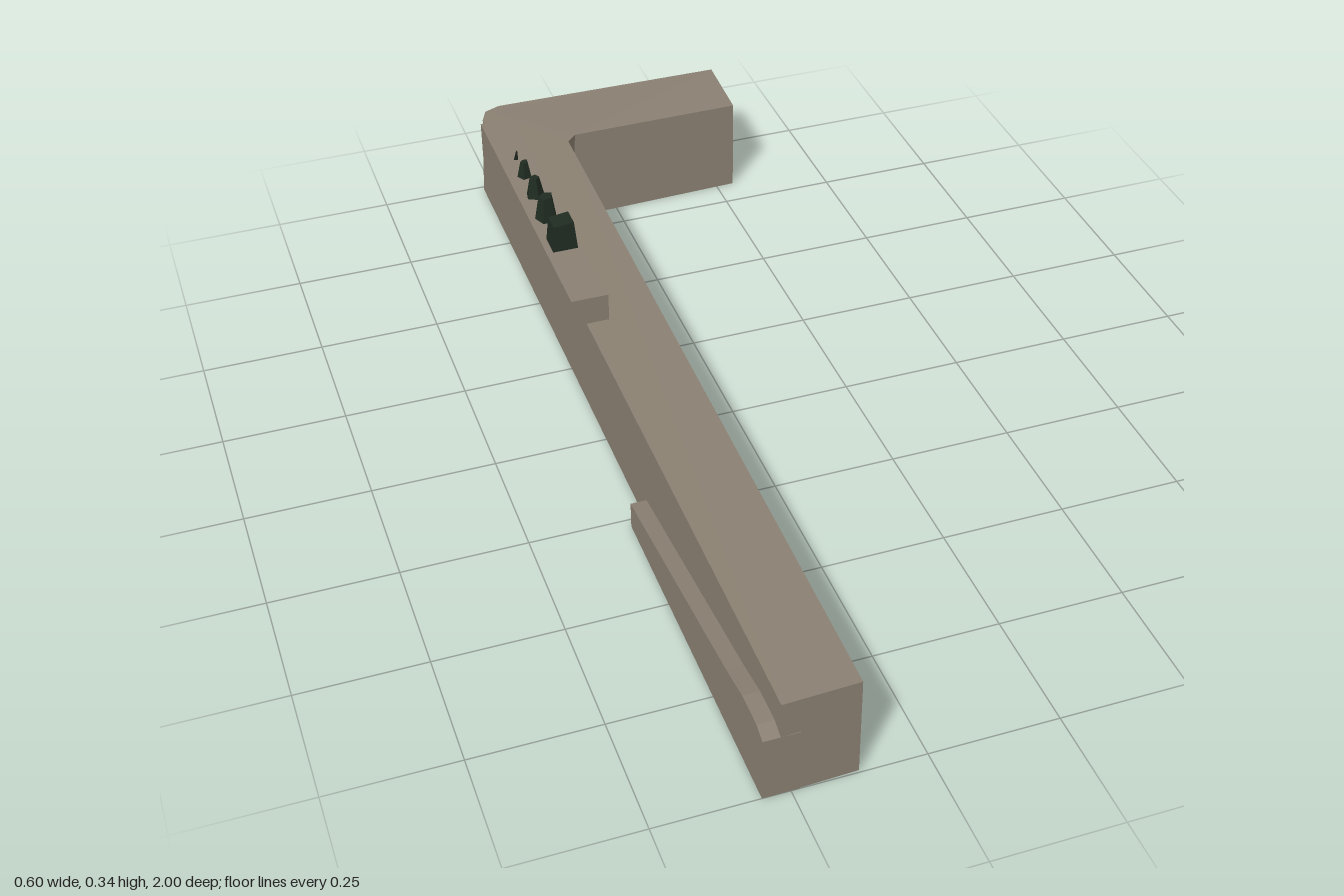
import * as THREE from 'three';

const stone = new THREE.MeshStandardMaterial({ color: 0x8a8072, flatShading: true, side: THREE.DoubleSide });
stone.name = 'warm grey stone';
const dark = new THREE.MeshStandardMaterial({ color: 0x1f2b21, flatShading: true });
dark.name = 'dark green';

function add(group, name, geometry, material) {
  const mesh = new THREE.Mesh(geometry, material);
  mesh.name = name;
  group.add(mesh);
  return mesh;
}

// L-shaped wall: a top outline joined to a base outline, open underneath
function wallGeometry() {
  // each row: top x, top z, top height, base x, base z
  const rows = [
    [-0.27, 1.0, 0.21, -0.27, 1.0],
    [-0.125, 0.995, 0.21, -0.125, 0.995],
    [-0.125 + 0.013, -0.79, 0.214, -0.125 + 0.013, -0.80],
    [-0.09, -0.812, 0.214, -0.11, -0.805],
    [0.293, -0.825, 0.208, 0.29, -0.82],
    [0.30, -1.0, 0.208, 0.295, -0.995],
    [-0.22, -0.995, 0.213, -0.27, -0.99],
    [-0.255, -0.98, 0.213, -0.27, -0.99],
    [-0.27, -0.945, 0.213, -0.27, -0.99],
  ];
  const n = rows.length;
  const positions = [];
  const index = [];
  rows.forEach(([x, z, y]) => positions.push(x, y, z));
  rows.forEach(([, , , x, z]) => positions.push(x, 0, z));
  for (let i = 0; i < n; i++) {
    const j = (i + 1) % n;
    index.push(i, n + i, n + j, i, n + j, j);
  }
  const outline = rows.map(([x, z]) => new THREE.Vector2(x, -z));
  THREE.ShapeUtils.triangulateShape(outline, []).forEach((f) => index.push(...f));
  const g = new THREE.BufferGeometry();
  g.setAttribute('position', new THREE.Float32BufferAttribute(positions, 3));
  g.setIndex(index);
  const flat = g.toNonIndexed();
  flat.computeVertexNormals();
  return flat;
}

// Side profile given as [z, y], extruded across x from x0 to x1
function sideProfile(points, x0, x1) {
  const shape = new THREE.Shape(points.map(([z, y]) => new THREE.Vector2(-z, y)));
  const g = new THREE.ExtrudeGeometry(shape, { depth: x1 - x0, bevelEnabled: false });
  g.rotateY(Math.PI / 2);
  g.translate(x0, 0, 0);
  return g;
}

export function createModel() {
  const model = new THREE.Group();
  model.name = 'cornerWall';

  add(model, 'wall', wallGeometry(), stone);

  // raised shelf with a sloping underside
  add(model, 'upperShelf', sideProfile([
    [-0.1, 0.28], [-0.82, 0.28], [-0.82, 0.147], [-0.7, 0.147],
    [-0.62, 0.16], [-0.2, 0.2], [-0.1, 0.22],
  ], -0.302, -0.226), stone);

  // low ramp along the outer foot of the wall
  add(model, 'lowerRamp', sideProfile([
    [1.0, 0], [1.0, 0.135], [0.97, 0.147], [0.9, 0.147],
    [0.82, 0.132], [0.27, 0.057], [0.27, 0],
  ], -0.302, -0.235), stone);

  // row of shrinking stubs on the shelf: x, z, base width, height, sides
  const stubs = [
    [-0.262, -0.305, 0.053, 0.058, 4],
    [-0.266, -0.407, 0.05, 0.054, 5],
    [-0.266, -0.498, 0.042, 0.045, 5],
    [-0.266, -0.58, 0.034, 0.036, 5],
    [-0.266, -0.648, 0.012, 0.026, 3],
  ];
  const row = new THREE.Group();
  row.name = 'stubs';
  model.add(row);
  stubs.forEach(([x, z, w, h, sides], i) => {
    const r = sides === 4 ? w / Math.SQRT2 : w / 2;
    const top = [0.8, 0.6, 0.5, 0.5, 0.3][i];
    const g = new THREE.CylinderGeometry(r * top, r, h + 0.004, sides, 1, false, sides === 4 ? Math.PI / 4 : i * 0.7);
    // slant the tops slightly
    const p = g.attributes.position;
    for (let k = 0; k < p.count; k++) {
      if (p.getY(k) > 0) p.setY(k, p.getY(k) + p.getX(k) * 0.12);
    }
    g.computeVertexNormals();
    const stub = add(row, 'stub' + (i + 1), g, dark);
    stub.position.set(x, 0.278 + h / 2, z);
    if (i === 4) stub.rotation.x = 0.35;
  });

  return model;
}
